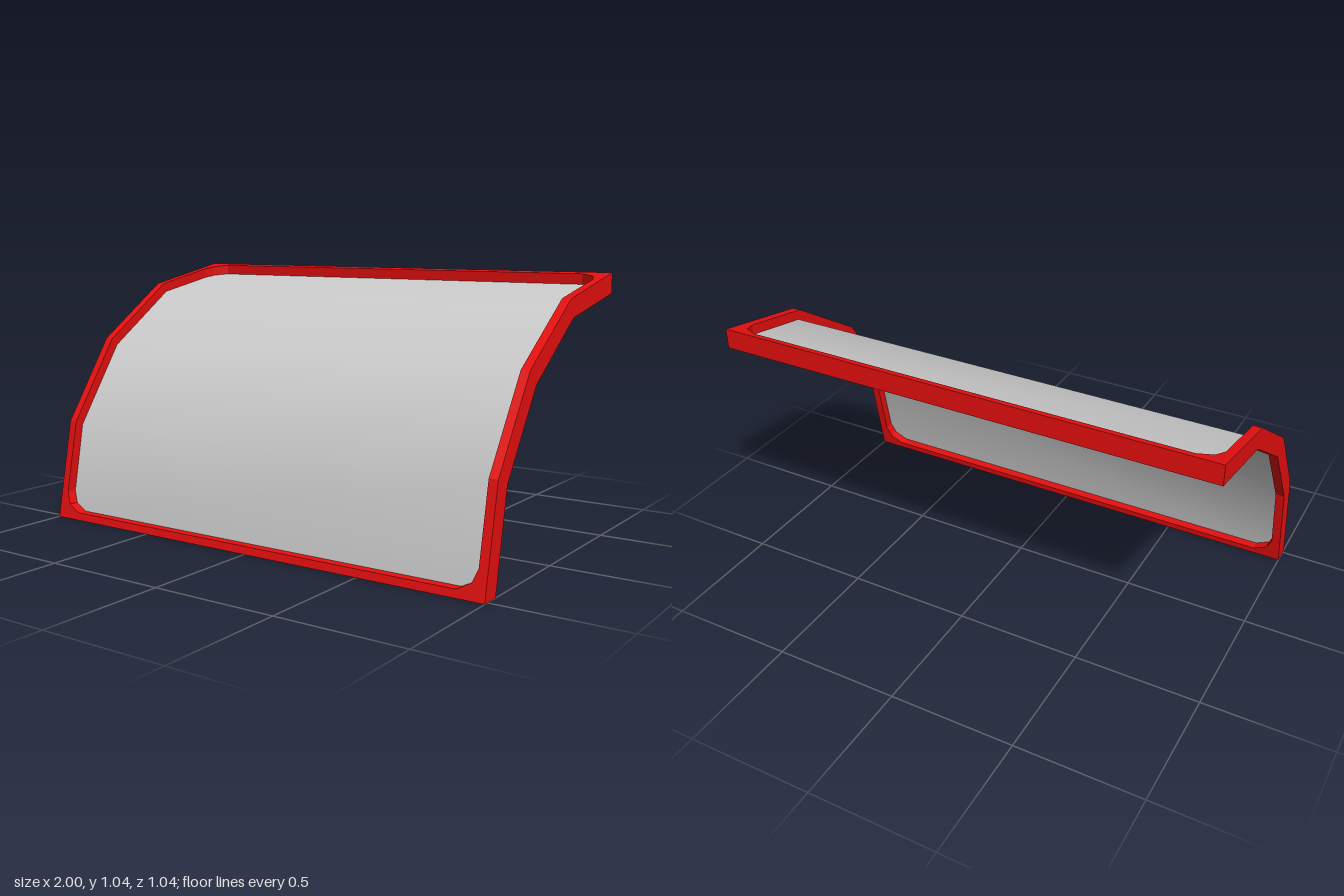
import * as THREE from 'three';

// Side profile as [z, y]: outer and inner faces of the bent frame
const OUTER = [[0.52, 0], [0.44, 0.4], [0.215, 0.735], [-0.12, 0.96], [-0.52, 1.04]];
const INNER = [[0.44, 0], [0.37, 0.37], [0.16, 0.68], [-0.15, 0.89], [-0.52, 0.96]];

// Maps x, s (0..4 along the bend) and t (0 outer face, 1 inner face) to space
function bend(x, s, t) {
  const i = Math.min(3, Math.floor(s));
  const at = (p, k) => THREE.MathUtils.lerp(p[i][k], p[i + 1][k], s - i);
  const on = (k) => THREE.MathUtils.lerp(at(OUTER, k), at(INNER, k), t);
  return [x, on(1), on(0)];
}

// Closed frame: a rectangular section swept between the rim and the opening
function frameGeometry() {
  const right = [ // [opening x, opening s, rim s]
    [0.89, 0.075, 0], [0.945, 0.15, 0], [0.965, 0.275, 0],
    [0.965, 1, 1], [0.965, 2, 2], [0.965, 3, 3],
    [0.965, 3.725, 4], [0.945, 3.85, 4], [0.89, 3.925, 4],
  ];
  const left = right.map(([x, s, r]) => [-x, s, r]).reverse();
  const sections = [...right, ...left].map(([x, s, r]) => {
    const rim = Math.sign(x);
    return [bend(rim, r, 0), bend(x, s, 0), bend(x, s, 1), bend(rim, r, 1)];
  });

  const positions = [];
  const triangle = (a, b, c) => {
    const same = (p, q) => p.every((v, i) => v === q[i]);
    if (!same(a, b) && !same(b, c) && !same(c, a)) positions.push(...a, ...b, ...c);
  };
  sections.forEach((a, i) => {
    const b = sections[(i + 1) % sections.length];
    for (let k = 0; k < 4; k++) {
      const n = (k + 1) % 4;
      triangle(a[k], b[k], b[n]);
      triangle(a[k], b[n], a[n]);
    }
  });
  const geometry = new THREE.BufferGeometry();
  geometry.setAttribute('position', new THREE.Float32BufferAttribute(positions, 3));
  geometry.computeVertexNormals();
  return geometry;
}

// Thin sheet halfway through the frame, its edges tucked into the rim
function paneGeometry() {
  const geometry = new THREE.PlaneGeometry(1.95, 4, 1, 4);
  const position = geometry.attributes.position;
  for (let i = 0; i < position.count; i++) {
    const s = THREE.MathUtils.clamp(position.getY(i) + 2, 0.05, 3.95);
    position.setXYZ(i, ...bend(position.getX(i), s, 0.52));
  }
  geometry.computeVertexNormals();
  return geometry;
}

export function createModel() {
  const model = new THREE.Group();
  model.name = 'curvedWindow';

  const frame = new THREE.Mesh(
    frameGeometry(),
    new THREE.MeshStandardMaterial({ color: 0xe60f0f, flatShading: true }),
  );
  frame.name = 'frame';

  const pane = new THREE.Mesh(
    paneGeometry(),
    new THREE.MeshStandardMaterial({ color: 0xcccccc, side: THREE.DoubleSide }),
  );
  pane.name = 'pane';

  model.add(frame, pane);
  return model;
}
